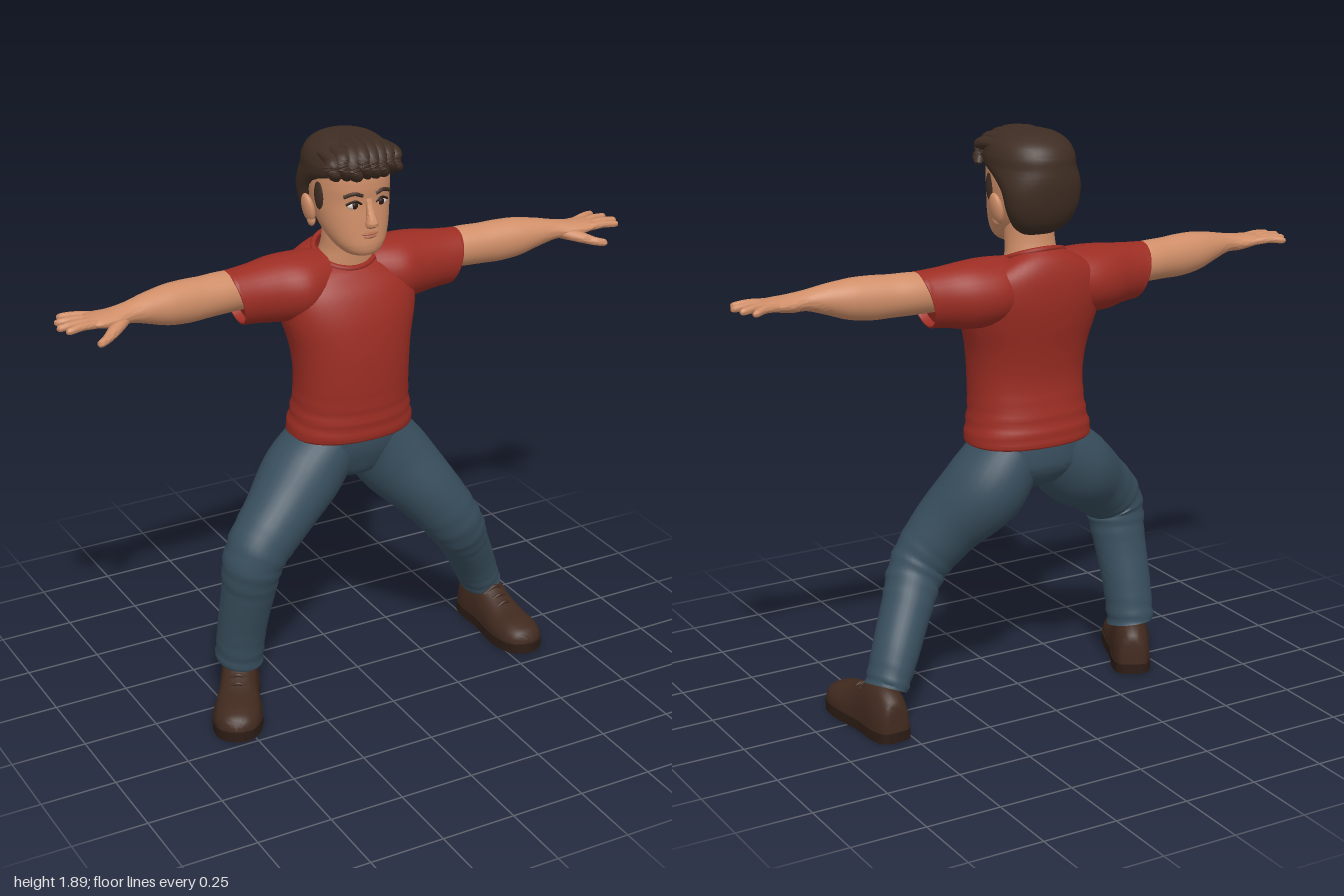
import * as THREE from 'three';
import { toCreasedNormals } from 'three/addons/utils/BufferGeometryUtils.js';

const V = (x, y, z) => new THREE.Vector3(x, y, z);
const mat = (name, color) => Object.assign(new THREE.MeshStandardMaterial({ color }), { name });
const X = V(1, 0, 0), Y = V(0, 1, 0), Z = V(0, 0, 1);

// Smooth value between sections (Catmull-Rom on every component)
function sample(sections, f) {
  const n = sections.length - 1, i = Math.min(Math.floor(f), n - 1), t = f - i;
  const at = (j, k) => sections[Math.max(0, Math.min(n, j))][k] ?? 0;
  return [0, 1, 2, 3, 4, 5].map((k) => {
    const [a, b, c, d] = [at(i - 1, k), at(i, k), at(i + 1, k), at(i + 2, k)];
    return b + 0.5 * t * (c - a + t * (2 * a - 5 * b + 4 * c - d + t * (3 * (b - c) + d - a)));
  });
}

// Skin over cross-sections [x, y, z, halfWidth, halfHeight, lean]
function loft(sections, { hint = Z, axis = null, sides = 32, steps = 5, power = 2, caps = true, shape = null } = {}) {
  const count = (sections.length - 1) * steps, pos = [], idx = [];
  const centre = (f) => V(...sample(sections, f).slice(0, 3));
  const ring = (f, scale) => {
    const s = sample(sections, f), c = V(s[0], s[1], s[2]);
    const end = sections.length - 1;
    const t = axis ? axis.clone() : centre(Math.min(end, f + 0.1)).sub(centre(Math.max(0, f - 0.1))).normalize();
    const u = hint.clone().cross(t).normalize(), v = t.clone().cross(u);
    for (let i = 0; i < sides; i++) {
      const a = (i / sides) * Math.PI * 2, ca = Math.cos(a), sa = Math.sin(a);
      const round = (q) => Math.sign(q) * Math.abs(q) ** (2 / power) * scale;
      const p = c.clone().addScaledVector(u, round(ca) * Math.max(0.001, s[3]))
        .addScaledVector(v, round(sa) * Math.max(0.001, s[4])).addScaledVector(t, s[5] * sa * scale);
      if (shape) shape(p, a, f);
      pos.push(p.x, p.y, p.z);
    }
  };
  if (caps) ring(0, 0);
  for (let j = 0; j <= count; j++) ring(j / steps, 1);
  if (caps) ring(count / steps, 0);
  const rings = pos.length / 3 / sides;
  for (let j = 0; j < rings - 1; j++) for (let i = 0; i < sides; i++) {
    const a = j * sides + i, b = j * sides + (i + 1) % sides, c = a + sides, d = b + sides;
    if (!(caps && j === 0)) idx.push(a, b, c);
    if (!(caps && j === rings - 2)) idx.push(b, d, c);
    if (caps && j === 0) idx.push(); 
  }
  const g = new THREE.BufferGeometry();
  g.setAttribute('position', new THREE.Float32BufferAttribute(pos, 3));
  g.setIndex(idx);
  return toCreasedNormals(g, 1);
}

// Level section given by half width and front / back limits
const level = (y, hx, front, back, lean = 0) => [0, y, (front + back) / 2, hx, (front - back) / 2, lean];

export function createModel() {
  const model = new THREE.Group();
  model.name = 'lungingMan';
  const skin = mat('skin', 0xcf8e68), lip = mat('lips', 0xae6a50), hair = mat('hair', 0x3f2d23);
  const shirt = mat('shirt red', 0x9c2d23), jeans = mat('denim', 0x384e5d);
  const leather = mat('shoe leather', 0x412a1f), soleMat = mat('shoe sole', 0x2c1c15);
  const white = mat('eye white', 0xd8cfc6), iris = mat('iris', 0x2a1a12);
  shirt.side = THREE.DoubleSide;

  const add = (parent, name, geo, material) => {
    const m = new THREE.Mesh(geo, material);
    m.name = name;
    parent.add(m);
    return m;
  };
  const ball = (parent, name, material, p, r, rz = 0) => {
    const m = add(parent, name, new THREE.SphereGeometry(1, 24, 16), material);
    m.position.set(...p);
    m.scale.set(...r);
    m.rotation.z = rz;
    return m;
  };
  const tube = (parent, name, pts, r, material, closed = false) => add(parent, name,
    new THREE.TubeGeometry(new THREE.CatmullRomCurve3(pts.map((p) => V(...p)), closed), 40, r, 8, closed), material);

  // Shirt body, with soft folds near the hem
  add(model, 'shirtBody', loft([
    level(0.892, 0.195, 0.075, -0.195), level(0.897, 0.212, 0.092, -0.212), level(0.93, 0.21, 0.095, -0.212),
    level(1.0, 0.196, 0.096, -0.2), level(1.1, 0.193, 0.1, -0.188), level(1.2, 0.203, 0.097, -0.2),
    level(1.3, 0.228, 0.083, -0.222), level(1.38, 0.238, 0.055, -0.232), level(1.44, 0.215, 0.022, -0.228, -0.012),
    level(1.475, 0.155, 0.008, -0.21, -0.028), level(1.495, 0.1, -0.004, -0.178, -0.038),
  ], {
    axis: Y, sides: 48, power: 2.25, caps: false,
    shape: (p, a) => {
      const k = 0.003 * Math.exp(-(((p.y - 0.98) / 0.06) ** 2)) * Math.sin(p.y * 130 + 2 * Math.sin(a));
      p.x *= 1 + k * 5;
      p.z += k * Math.sin(a);
    },
  }), shirt);
  const collar = [];
  for (let i = 0; i < 16; i++) {
    const a = (i / 16) * Math.PI * 2;
    collar.push([0.1 * Math.cos(a), 1.495 - 0.038 * Math.sin(a), -0.091 + 0.087 * Math.sin(a)]);
  }
  tube(model, 'collar', collar, 0.009, shirt, true);

  // Sleeves, arms and hands
  for (const s of [1, -1]) {
    const arm = new THREE.Group();
    arm.name = s > 0 ? 'leftArm' : 'rightArm';
    model.add(arm);
    const side = (list) => list.map(([x, ...r]) => [s * x, ...r]);
    add(arm, 'sleeve', loft(side([
      [0.08, 1.405, -0.1, 0.1, 0.1], [0.17, 1.4, -0.095, 0.122, 0.108], [0.25, 1.4, -0.1, 0.108, 0.106],
      [0.32, 1.4, -0.094, 0.09, 0.097, 0.01], [0.375, 1.4, -0.09, 0.082, 0.092, 0.02],
      [0.392, 1.4, -0.09, 0.081, 0.091, 0.022], [0.39, 1.4, -0.09, 0.075, 0.083, 0.02], [0.365, 1.4, -0.09, 0.07, 0.08, 0.02],
    ]), { hint: Y, axis: X.clone().multiplyScalar(s) }), shirt);
    add(arm, 'forearmAndPalm', loft(side([
      [0.3, 1.42, -0.095, 0.06, 0.06], [0.42, 1.425, -0.09, 0.066, 0.066], [0.5, 1.425, -0.082, 0.063, 0.067],
      [0.56, 1.426, -0.076, 0.062, 0.069], [0.63, 1.43, -0.068, 0.06, 0.064], [0.7, 1.436, -0.058, 0.05, 0.048],
      [0.765, 1.438, -0.048, 0.041, 0.032], [0.82, 1.434, -0.042, 0.05, 0.027],
      [0.87, 1.437, -0.043, 0.054, 0.02], [0.9, 1.438, -0.045, 0.048, 0.014], [0.912, 1.438, -0.045, 0.03, 0.006],
    ]), { hint: Y }), skin);
    // tip x, tip z, root z
    for (const [x, z, root] of [[0.967, -0.115, -0.08], [0.99, -0.075, -0.056], [1.0, -0.03, -0.033], [0.985, 0.005, -0.008]]) {
      const mid = (x + 0.87) / 2;
      add(arm, 'finger', loft(side([
        [0.86, 1.436, root, 0.013, 0.013], [mid, 1.441, (root + z) / 2, 0.0125, 0.0125],
        [x - 0.012, 1.437, z, 0.011, 0.011], [x - 0.002, 1.436, z, 0.006, 0.006], [x, 1.436, z, 0.001, 0.001],
      ]), { hint: Y, sides: 12 }), skin);
    }
    add(arm, 'thumb', loft(side([
      [0.78, 1.43, -0.03, 0.02, 0.02], [0.83, 1.418, 0.012, 0.021, 0.018], [0.87, 1.406, 0.042, 0.015, 0.014],
      [0.9, 1.401, 0.06, 0.011, 0.011], [0.907, 1.4, 0.063, 0.001, 0.001],
    ]), { hint: Y, sides: 14 }), skin);
  }

  // Trousers: seat and two bent legs with folds behind the knee and at the cuff
  add(model, 'trouserSeat', loft([
    level(0.735, 0.06, 0.0, -0.11), level(0.76, 0.12, 0.035, -0.16), level(0.81, 0.185, 0.06, -0.2),
    level(0.86, 0.2, 0.075, -0.207), level(0.93, 0.195, 0.08, -0.2),
  ], { axis: Y, power: 2.2 }), jeans);
  const folds = (p, a, f) => {
    const k = 0.004 * (Math.exp(-((f - 3.2) ** 2) * 3) + Math.exp(-((f - 6) ** 2) * 3));
    p.x += k * Math.sin(f * 17 + a) * Math.cos(a);
    p.z += k * Math.sin(f * 17 + a) * Math.sin(a);
  };
  const legs = {
    leftLeg: [[0.075, 0.87, -0.065, 0.11, 0.13], [0.155, 0.75, -0.06, 0.132, 0.142], [0.26, 0.62, 0.0, 0.112, 0.118],
      [0.355, 0.49, 0.025, 0.097, 0.092], [0.43, 0.37, -0.025, 0.083, 0.084], [0.5, 0.25, -0.078, 0.076, 0.08], [0.548, 0.15, -0.105, 0.066, 0.08]],
    rightLeg: [[-0.075, 0.87, -0.065, 0.11, 0.13], [-0.175, 0.765, -0.05, 0.13, 0.138], [-0.295, 0.675, 0.015, 0.115, 0.118],
      [-0.405, 0.57, 0.058, 0.102, 0.1], [-0.422, 0.44, 0.038, 0.09, 0.086], [-0.43, 0.29, 0.0, 0.082, 0.08], [-0.432, 0.15, -0.028, 0.078, 0.08]],
  };
  for (const [name, path] of Object.entries(legs)) add(model, name, loft(path, { steps: 8, shape: folds }), jeans);

  // Shoes, toe along +z before turning
  for (const [name, x, z, turn] of [['leftShoe', 0.56, -0.1, 0.04], ['rightShoe', -0.425, -0.04, -0.49]]) {
    const shoe = new THREE.Group();
    shoe.name = name;
    shoe.position.set(x, 0, z);
    shoe.rotation.y = turn;
    model.add(shoe);
    add(shoe, 'upper', loft([
      [0, 0.03, -0.1, 0.025, 0.06], [0, 0.03, -0.09, 0.047, 0.105], [0, 0.03, -0.04, 0.062, 0.14], [0, 0.03, 0.03, 0.064, 0.148],
      [0, 0.03, 0.09, 0.068, 0.108], [0, 0.03, 0.16, 0.076, 0.075], [0, 0.03, 0.23, 0.075, 0.062],
      [0, 0.03, 0.275, 0.055, 0.046], [0, 0.03, 0.295, 0.02, 0.02],
    ], { hint: Y, axis: Z, power: 2.4, shape: (p) => { p.y = Math.max(p.y, 0.02); } }), leather);
    const outline = new THREE.Shape();
    const half = [[0.05, -0.09], [0.066, -0.03], [0.067, 0.05], [0.08, 0.15], [0.08, 0.22], [0.055, 0.28]];
    const loop = [[0, -0.105], ...half, [0, 0.303], ...half.map(([a, b]) => [-a, b]).reverse(), [0, -0.105]];
    outline.setFromPoints(new THREE.SplineCurve(loop.map((p) => new THREE.Vector2(...p))).getPoints(70));
    add(shoe, 'sole', new THREE.ExtrudeGeometry(outline, { depth: 0.034, bevelEnabled: false }).rotateX(Math.PI / 2).translate(0, 0.034, 0), soleMat);
    for (const [lz, ly] of [[0.07, 0.151], [0.1, 0.131], [0.13, 0.117]])
      tube(shoe, 'lace', [[-0.042, ly - 0.022, lz], [0, ly + 0.002, lz + 0.005], [0.042, ly - 0.022, lz]], 0.006, leather);
  }

  // Neck and head
  add(model, 'neck', loft([[0, 1.4, -0.095, 0.11, 0.08], [0, 1.47, -0.09, 0.096, 0.082], [0, 1.515, -0.08, 0.084, 0.076],
    [0, 1.56, -0.072, 0.081, 0.075], [0, 1.62, -0.07, 0.08, 0.075]], { axis: Y }), skin);
  const head = new THREE.Group();
  head.name = 'head';
  head.position.x = -0.005;
  model.add(head);
  add(head, 'face', loft([
    level(1.524, 0.03, 0.068, 0.0), level(1.533, 0.055, 0.086, -0.03), level(1.56, 0.082, 0.094, -0.07),
    level(1.6, 0.103, 0.092, -0.12), level(1.65, 0.116, 0.088, -0.16), level(1.7, 0.122, 0.084, -0.18),
    level(1.75, 0.124, 0.088, -0.19), level(1.8, 0.118, 0.08, -0.18), level(1.85, 0.08, 0.04, -0.14),
  ], { axis: Y, power: 2.15 }), skin);
  add(head, 'nose', loft([[0, 1.715, 0.078, 0.012, 0.012], [0, 1.68, 0.089, 0.012, 0.014], [0, 1.65, 0.1, 0.017, 0.018],
    [0, 1.635, 0.102, 0.021, 0.019], [0, 1.624, 0.096, 0.014, 0.012]], { axis: V(0, -1, 0), sides: 18 }), skin);
  ball(head, 'upperLip', lip, [0, 1.602, 0.089], [0.03, 0.005, 0.009]);
  ball(head, 'lowerLip', lip, [0, 1.593, 0.089], [0.023, 0.006, 0.01]);
  for (const s of [1, -1]) {
    ball(head, 'ear', skin, [s * 0.127, 1.655, -0.078], [0.017, 0.05, 0.032], -s * 0.2);
    ball(head, 'earLobe', skin, [s * 0.121, 1.618, -0.07], [0.012, 0.02, 0.018]);
    ball(head, 'eye', white, [s * 0.047, 1.695, 0.07], [0.021, 0.012, 0.011]);
    ball(head, 'iris', iris, [s * 0.046, 1.696, 0.077], [0.0105, 0.011, 0.006]);
    tube(head, 'upperLid', [[s * 0.024, 1.699, 0.08], [s * 0.046, 1.71, 0.079], [s * 0.072, 1.699, 0.067]], 0.004, iris);
    tube(head, 'eyebrow', [[s * 0.022, 1.727, 0.084], [s * 0.05, 1.735, 0.08], [s * 0.08, 1.725, 0.066]], 0.006, hair);
    ball(head, 'sideburn', hair, [s * 0.115, 1.715, -0.025], [0.013, 0.05, 0.026]);
  }

  // Hair: smooth back mass and swept locks over the top
  add(head, 'hairBack', loft([
    level(1.572, 0.055, -0.09, -0.145), level(1.6, 0.092, -0.075, -0.185), level(1.65, 0.12, -0.07, -0.21),
    level(1.71, 0.132, -0.05, -0.222), level(1.75, 0.136, 0.01, -0.225), level(1.785, 0.137, 0.088, -0.222),
    level(1.82, 0.134, 0.094, -0.217), level(1.855, 0.116, 0.075, -0.195), level(1.88, 0.08, 0.04, -0.15), level(1.886, 0.03, 0, -0.1),
  ], { axis: Y, sides: 40, power: 2.1 }), hair);
  for (let i = 0; i < 8; i++) {
    const k = i / 3.5 - 1, x = 0.108 * k, drop = 0.03 * k * k, wave = 0.006 * Math.sin(i * 2.4);
    add(head, 'hairLock', loft([
      [x + 0.016, 1.775, 0.072 - drop, 0.01, 0.006], [x, 1.8 + wave, 0.09 - drop, 0.024, 0.018],
      [x - 0.008, 1.838 + wave - drop / 2, 0.086 - drop, 0.027, 0.022], [x * 0.95, 1.868 - drop, 0.045, 0.027, 0.021],
      [x * 0.9, 1.874 - drop, -0.03, 0.024, 0.017], [x * 0.85, 1.862 - drop, -0.11, 0.02, 0.014], [x * 0.7, 1.81 - drop, -0.19, 0.008, 0.006],
    ], { hint: Y, sides: 14 }), hair);
  }
  return model;
}
